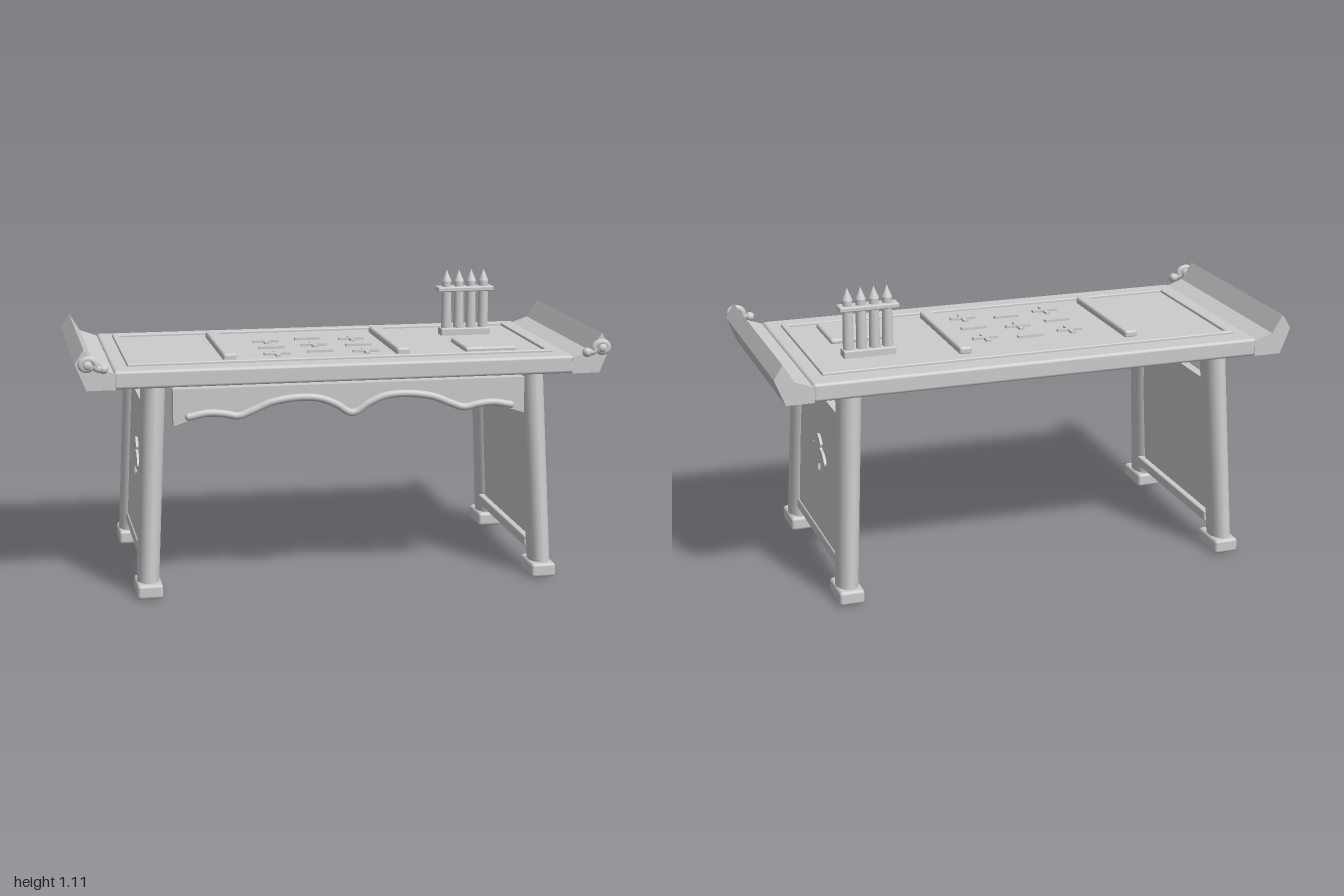
import * as THREE from 'three';
import { RoundedBoxGeometry } from 'three/addons/geometries/RoundedBoxGeometry.js';

export function createModel() {
  const root = new THREE.Group();
  const stone = new THREE.MeshStandardMaterial({ color: 0xcccccc });
  stone.name = 'palegrey';
  const ZC = -0.015; // depth centre of the table

  function add(name, geo, x = 0, y = 0, z = 0, parent = root) {
    const m = new THREE.Mesh(geo, stone);
    m.name = name;
    m.position.set(x, y, z);
    parent.add(m);
    return m;
  }
  // box given by its limits, with optional rounded edges
  function block(name, x0, x1, y0, y1, z0, z1, r = 0, parent = root) {
    const w = x1 - x0, h = y1 - y0, d = z1 - z0;
    const geo = r ? new RoundedBoxGeometry(w, h, d, 2, r) : new THREE.BoxGeometry(w, h, d);
    return add(name, geo, (x0 + x1) / 2, (y0 + y1) / 2, (z0 + z1) / 2, parent);
  }
  const extrude = (shape, depth) =>
    new THREE.ExtrudeGeometry(shape, { depth, bevelEnabled: false, curveSegments: 8 });

  // Table top with a raised border
  block('tableTop', -0.86, 0.86, 0.782, 0.85, -0.435, 0.405, 0.012);
  for (const s of [-1, 1]) {
    block('borderLong', -0.805, 0.805, 0.845, 0.86, ZC + s * 0.32 - 0.012, ZC + s * 0.32 + 0.012, 0.005);
    block('borderShort', s * 0.793 - 0.012, s * 0.793 + 0.012, 0.845, 0.86, ZC - 0.32, ZC + 0.32, 0.005);
  }
  block('crossBar', -0.445, -0.395, 0.845, 0.875, -0.26, 0.26, 0.01);
  block('crossBar', 0.213, 0.263, 0.845, 0.875, -0.26, 0.26, 0.01);
  block('tablet', 0.48, 0.68, 0.845, 0.868, 0.02, 0.257, 0.01);

  // Abstract raised inlay pieces, three by three
  for (let i = 0; i < 3; i++) {
    for (let j = 0; j < 3; j++) {
      const x = -0.23 + i * 0.17, z = -0.11 + j * 0.14 + (i === 1 ? -0.02 : 0.01);
      block('inlayBar', x - 0.05, x + 0.05, 0.845, 0.859, z - 0.009, z + 0.009);
      if ((i + j) % 2 === 0) block('inlayStroke', x - 0.009, x + 0.009, 0.845, 0.858, z - 0.045, z + 0.045);
    }
  }

  // Upturned ends and their scroll ornaments
  for (const s of [-1, 1]) {
    const profile = [[0.855, 0.782], [0.96, 0.782], [1, 0.88], [0.967, 0.933], [0.925, 0.865], [0.855, 0.84]];
    const shape = new THREE.Shape(profile.map(([x, y]) => new THREE.Vector2(s * x, y)));
    add('upturnedEnd', extrude(shape, 0.84), 0, 0, -0.435);

    const curl = [];
    for (let k = 0; k <= 16; k++) {
      const a = -0.4 + k * 0.42, r = 0.013 + 0.0012 * (16 - k);
      curl.push(new THREE.Vector3(s * (0.957 - Math.cos(a) * r), 0.882 + Math.sin(a) * r * 0.8, 0.438));
    }
    curl.unshift(new THREE.Vector3(s * 0.9, 0.864, 0.438));
    add('scroll', new THREE.TubeGeometry(new THREE.CatmullRomCurve3(curl), 50, 0.013, 8));
    add('scrollTip', new THREE.SphereGeometry(0.018, 12, 8), s * 0.9, 0.866, 0.435);
    add('scrollHeart', new THREE.SphereGeometry(0.022, 12, 8), s * 0.957, 0.882, 0.436);
  }

  // Oval, splayed legs on block feet
  for (const sx of [-1, 1]) {
    for (const sz of [-1, 1]) {
      const leg = new THREE.CylinderGeometry(1, 1, 0.75, 32, 8);
      const p = leg.attributes.position;
      for (let i = 0; i < p.count; i++) {
        const t = p.getY(i) / 0.75 + 0.5;
        p.setX(i, p.getX(i) * (0.041 + 0.004 * t) + sx * (0.75 - 0.036 * t));
        p.setZ(i, p.getZ(i) * 0.0635 + sz * (0.381 - 0.038 * t));
      }
      leg.computeVertexNormals();
      add('leg', leg, 0, 0.415, ZC);
      const fz = sz > 0 ? 0.369 : -0.396;
      block('foot', sx * 0.748 - 0.047, sx * 0.748 + 0.047, 0.004, 0.058, fz - 0.0795, fz + 0.0795, 0.012);
    }
  }

  // Side panels, each with a lower rail and an emblem outside
  const half = [[0.044, 0.49], [0.043, 0.468], [0.075, 0.46], [0.109, 0.432], [0.095, 0.409], [0.05, 0.414], [0.022, 0.403]];
  const outline = [
    ...half.slice().reverse().map(([u, y]) => new THREE.Vector2(-u, y)),
    new THREE.Vector2(0, 0.514),
    ...half.map(([u, y]) => new THREE.Vector2(u, y)),
  ];
  const emblem = new THREE.Shape();
  emblem.moveTo(-0.022, 0.378);
  emblem.lineTo(-0.022, 0.403);
  emblem.splineThru(outline.slice(1));
  emblem.lineTo(0.022, 0.378);
  for (const s of [-1, 1]) {
    const side = new THREE.Group();
    side.name = 'sidePanel';
    side.position.z = ZC;
    side.rotation.y = s > 0 ? 0 : Math.PI;
    root.add(side);
    const tilt = new THREE.Group();
    tilt.name = 'tiltedPanel';
    tilt.position.x = 0.75;
    tilt.rotation.z = 0.046;
    side.add(tilt);
    block('panel', -0.016, 0.016, 0.1, 0.67, -0.305, 0.305, 0, tilt);
    block('panelRail', -0.038, 0.021, 0.095, 0.136, -0.335, 0.335, 0.006, tilt);
    add('emblem', extrude(emblem, 0.014), 0.012, 0, 0, tilt).rotation.y = Math.PI / 2;
  }

  // Scalloped front apron with a rounded moulding
  const wave = [[0.6, 0.685], [0.53, 0.697], [0.47, 0.692], [0.42, 0.683], [0.37, 0.7], [0.3, 0.728], [0.2, 0.742],
    [0.12, 0.736], [0.06, 0.712], [0, 0.678]];
  const path = [...wave.map(([x, y]) => [-x, y]), ...wave.slice(0, -1).reverse()];
  const apron = new THREE.Shape();
  apron.moveTo(-0.655, 0.785);
  apron.lineTo(-0.655, 0.65);
  apron.lineTo(-0.6, 0.668);
  apron.splineThru(path.slice(1, -1).map(([x, y]) => new THREE.Vector2(x, y - 0.012)));
  apron.lineTo(0.6, 0.668);
  apron.lineTo(0.655, 0.65);
  apron.lineTo(0.655, 0.785);
  add('apron', extrude(apron, 0.045), 0, 0, 0.405);
  const curve = new THREE.CatmullRomCurve3(path.map(([x, y]) => new THREE.Vector3(x, y, 0.462)));
  add('apronMoulding', new THREE.TubeGeometry(curve, 90, 0.014, 10));
  for (const s of [-1, 1]) add('mouldingEnd', new THREE.SphereGeometry(0.014, 12, 8), s * 0.6, 0.685, 0.462);

  // Rack of four pointed brushes
  block('rackBase', 0.48, 0.68, 0.845, 0.878, -0.178, -0.118, 0.005);
  block('rackPlate', 0.466, 0.692, 1.024, 1.043, -0.177, -0.116, 0.005);
  for (let i = 0; i < 4; i++) {
    const x = 0.506 + i * 0.05;
    add('brushHandle', new THREE.CylinderGeometry(0.018, 0.021, 0.2, 16), x, 0.965, -0.147);
    add('brushTip', new THREE.ConeGeometry(0.02, 0.046, 16), x, 1.087, -0.147);
  }
  return root;
}
